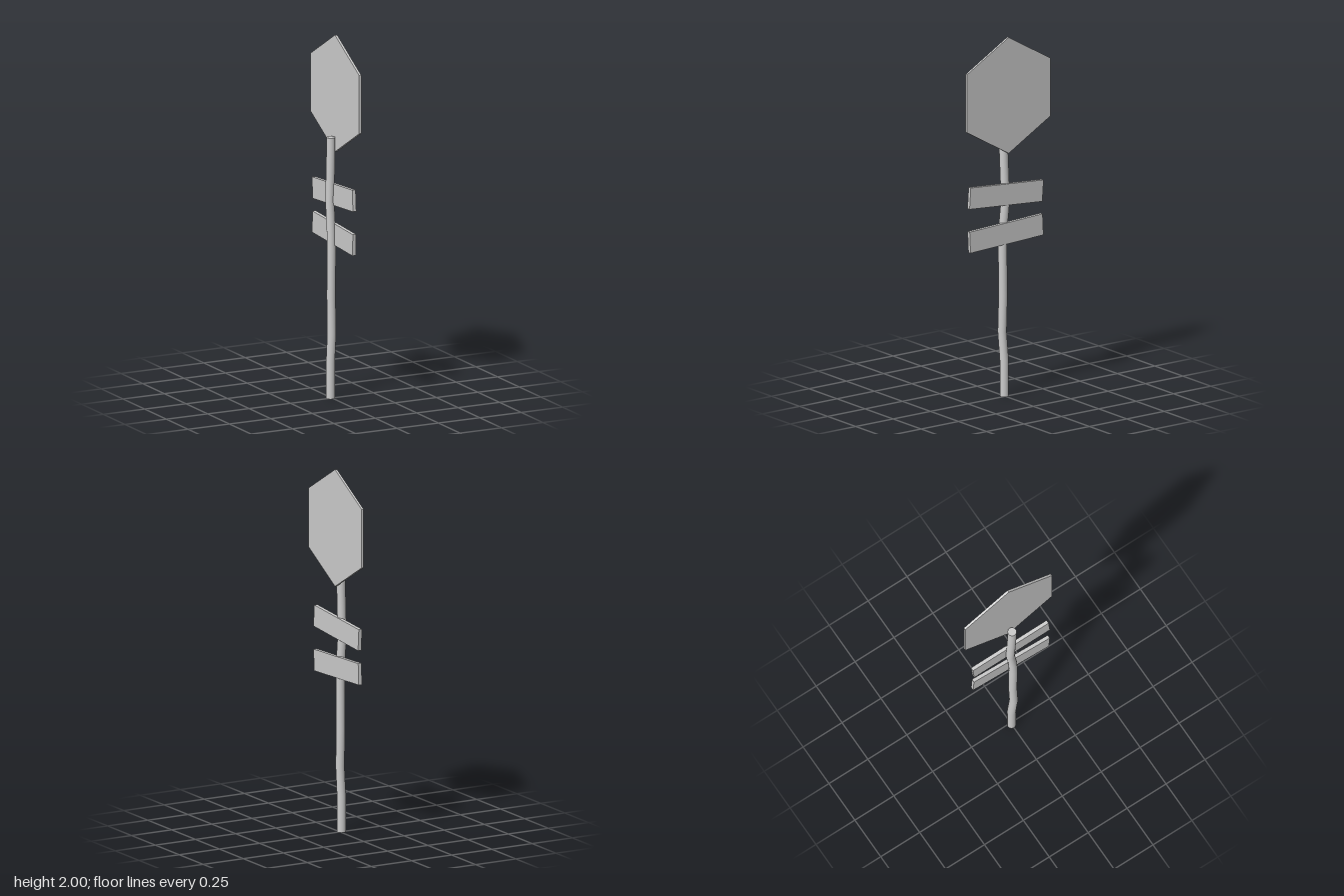
import * as THREE from 'three';

const smooth = new THREE.MeshStandardMaterial({ color: 0xcccccc });
const flat = new THREE.MeshStandardMaterial({ color: 0xcccccc, flatShading: true });

function addMesh(group, name, geometry, material, x, y, z) {
  const mesh = new THREE.Mesh(geometry, material);
  mesh.name = name;
  mesh.position.set(x, y, z);
  group.add(mesh);
  return mesh;
}

// Crooked pole: each ring of a cylinder is moved to a [height, z] point of the path
function poleGeometry(radius, path) {
  const geometry = new THREE.CylinderGeometry(radius, radius, 1, 20, path.length - 1);
  const pos = geometry.attributes.position;
  for (let i = 0; i < pos.count; i++) {
    const ring = Math.round((pos.getY(i) + 0.5) * (path.length - 1));
    const [y, z] = path[ring];
    pos.setY(i, y);
    pos.setZ(i, pos.getZ(i) + z);
  }
  geometry.computeBoundingSphere();
  return geometry;
}

export function createModel() {
  const model = new THREE.Group();
  model.name = 'signpost';

  // Pole
  const path = [
    [0, 0], [0.2, 0], [0.36, 0.014], [0.56, 0.008], [0.83, 0.011],
    [0.94, 0.008], [1.09, -0.008], [1.36, 0.004], [1.44, 0.004],
  ];
  addMesh(model, 'pole', poleGeometry(0.024, path), smooth, -0.009, 0, 0);

  // Hexagonal sign plate, facing +x with a corner at the top
  const plate = new THREE.CylinderGeometry(0.322, 0.322, 0.013, 6, 1, false, Math.PI / 2);
  plate.rotateZ(-Math.PI / 2);
  addMesh(model, 'signPlate', plate, flat, 0.0245, 1.678, 0);

  // Two tilted direction boards
  const boards = [
    ['upperBoard', 1.125, -0.07],
    ['lowerBoard', 0.909, 0.048],
  ];
  for (const [name, y, tilt] of boards) {
    const board = addMesh(model, name, new THREE.BoxGeometry(0.02, 0.118, 0.482), flat, 0.01, y, 0.006);
    board.rotation.set(tilt, -0.017, 0);
  }

  return model;
}
